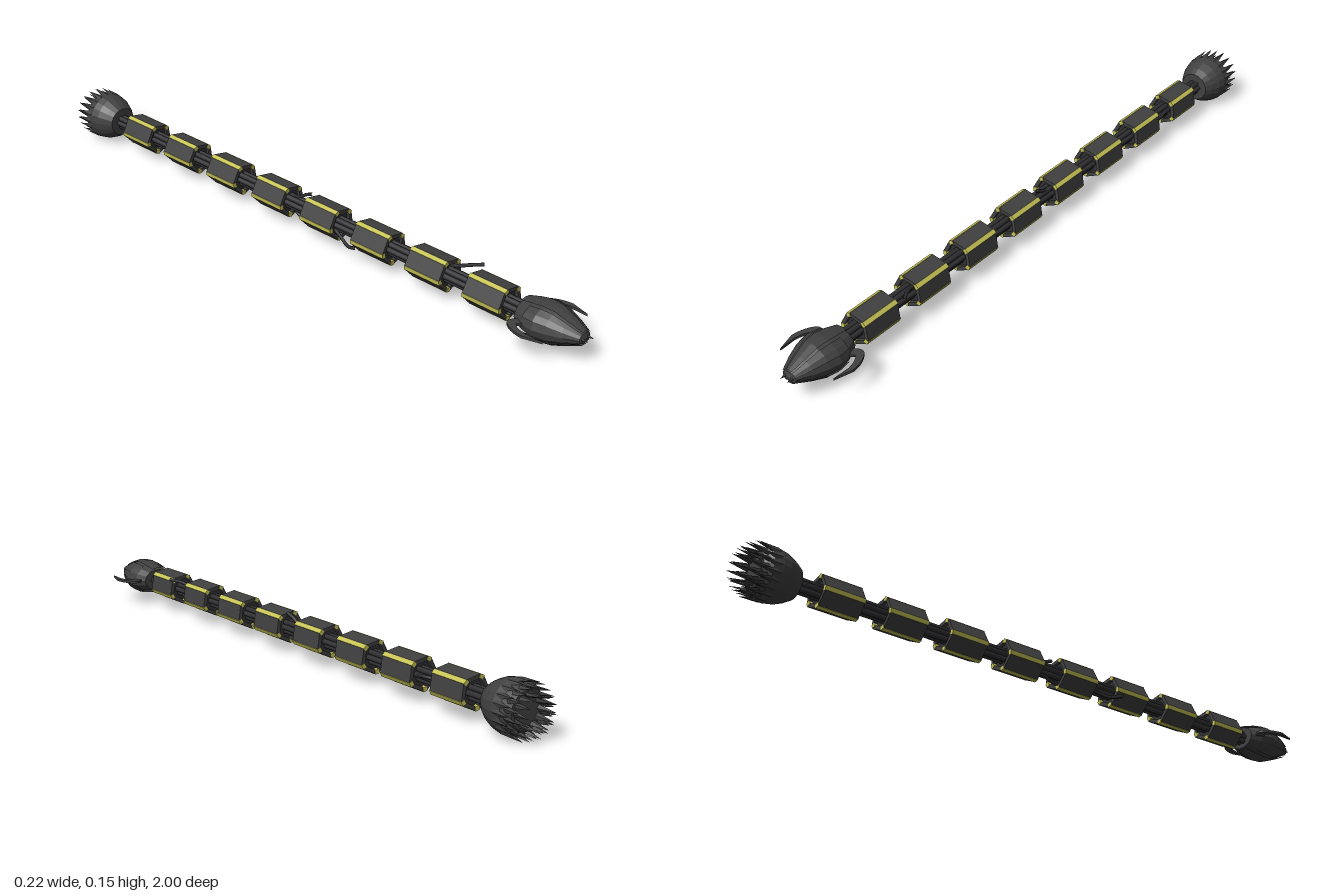
import * as THREE from 'three';

const AXIS = 0.077; // height of the body centreline
const rad = THREE.MathUtils.degToRad;
const mat = (name, color, extra = {}) => Object.assign(new THREE.MeshStandardMaterial({ color, ...extra }), { name });

// Flat-faced skin through elliptical rings [z, halfWidth, halfHeight], over an angle range
function loft(rings, sides, from = 0, to = 360, grow = 0) {
  const pos = [];
  const at = ([z, w, h], j) => {
    const a = rad(from + ((to - from) * j) / sides);
    return [(w + grow) * Math.cos(a), (h + grow) * Math.sin(a), z];
  };
  for (let i = 0; i < rings.length - 1; i++) {
    for (let j = 0; j < sides; j++) {
      const a = at(rings[i], j), b = at(rings[i], j + 1);
      const c = at(rings[i + 1], j + 1), d = at(rings[i + 1], j);
      pos.push(...a, ...b, ...c, ...a, ...c, ...d);
    }
  }
  const g = new THREE.BufferGeometry();
  g.setAttribute('position', new THREE.Float32BufferAttribute(pos, 3));
  g.computeVertexNormals();
  return g;
}

export function createModel() {
  const root = new THREE.Group();
  const armour = mat('dark armour', 0x404040, { flatShading: true, side: THREE.DoubleSide });
  const cable = mat('black cable', 0x303033);
  const glow = mat('yellow strip', 0xc6c255);

  const body = new THREE.Group();
  body.name = 'body';
  body.position.y = AXIS;
  root.add(body);
  const add = (parent, name, geo, material) => {
    const m = new THREE.Mesh(geo, material);
    m.name = name;
    parent.add(m);
    return m;
  };

  // Spine: bundle of parallel cables
  for (let i = 0; i < 7; i++) {
    const a = rad(i * 60), r = i < 6 ? 0.015 : 0;
    const g = new THREE.CylinderGeometry(0.008, 0.008, 1.66, 8).rotateX(Math.PI / 2);
    add(body, 'spineCable', g, cable).position.set(r * Math.cos(a), r * Math.sin(a), -0.02);
  }

  // Loose cables curling away from the spine
  const loose = [
    [[0.005, 0.012, 0.5], [0.018, 0.025, 0.56], [0.032, 0.034, 0.59], [0.053, 0.039, 0.62]],
    [[-0.01, -0.01, 0.12], [-0.022, -0.025, 0.17], [-0.035, -0.034, 0.21], [-0.044, -0.022, 0.25]],
    [[0, 0.01, -0.06], [0.008, 0.022, -0.02], [0.01, 0.034, 0], [0.012, 0.044, 0.025]],
    [[0, -0.01, -0.06], [-0.008, -0.022, -0.02], [-0.01, -0.034, 0.01], [-0.008, -0.034, 0.04]],
    [[0.01, 0, -0.55], [0.026, 0.005, -0.59], [0.02, 0.006, -0.63], [0.008, 0, -0.67]],
  ];
  for (const p of loose) {
    const path = new THREE.CatmullRomCurve3(p.map(v => new THREE.Vector3(...v)));
    add(body, 'looseCable', new THREE.TubeGeometry(path, 12, 0.005, 6), cable);
  }

  // Body segments: five plates around a core, with bright strips at the corners
  const panel = new THREE.Shape([[0.035, 10], [0.048, 8], [0.048, 64], [0.035, 62]].map(
    ([r, a]) => new THREE.Vector2(r * Math.cos(rad(a)), r * Math.sin(rad(a)))));
  const plateGeo = new THREE.ExtrudeGeometry(panel, { depth: 0.12, bevelEnabled: false }).translate(0, 0, -0.06);
  const stripGeo = new THREE.BoxGeometry(0.012, 0.013, 0.122).translate(0.0425, 0, 0);
  const coreGeo = new THREE.CylinderGeometry(0.037, 0.037, 0.1, 10).rotateX(Math.PI / 2);
  for (let s = 0; s < 8; s++) {
    const segment = new THREE.Group();
    segment.name = 'segment';
    segment.position.z = 0.69 - s * 0.1993;
    add(segment, 'segmentCore', coreGeo, cable);
    for (let k = 0; k < 5; k++) {
      const a = rad(-28 + 72 * k);
      add(segment, 'segmentPlate', plateGeo, armour).rotation.z = a;
      add(segment, 'segmentStrip', stripGeo, glow).rotation.z = a;
    }
    body.add(segment);
  }

  // Head: faceted tapering shell with raised crown, chin and cheek plates
  const head = new THREE.Group();
  head.name = 'head';
  body.add(head);
  const rings = [
    [0.795, 0, 0], [0.795, 0.044, 0.034], [0.83, 0.061, 0.043], [0.865, 0.066, 0.049],
    [0.9, 0.058, 0.047], [0.94, 0.043, 0.032], [0.98, 0.023, 0.015], [0.985, 0, 0],
  ];
  add(head, 'skull', loft(rings, 14), armour);
  const shell = rings.slice(1, 7);
  for (const mid of [90, 270]) {
    add(head, 'ridgePlate', loft(shell, 2, mid - 20, mid + 20, 0.005), armour);
    for (const side of [-1, 1]) {
      const c = mid + side * 46;
      add(head, 'cheekPlate', loft(shell.slice(1), 2, c - 19, c + 19, 0.003), armour);
    }
  }
  const fang = new THREE.ConeGeometry(0.009, 0.04, 6).rotateX(Math.PI / 2);
  for (const x of [-0.012, 0.012]) add(head, 'fang', fang, armour).position.set(x, 0, 0.98);

  // Flat curved mandibles on both sides
  for (const s of [-1, 1]) {
    const shape = new THREE.Shape();
    shape.moveTo(s * 0.045, 0.815);
    shape.quadraticCurveTo(s * 0.07, 0.79, s * 0.085, 0.805);
    shape.quadraticCurveTo(s * 0.106, 0.83, s * 0.108, 0.868);
    shape.lineTo(s * 0.092, 0.922);
    shape.lineTo(s * 0.094, 0.87);
    shape.quadraticCurveTo(s * 0.088, 0.835, s * 0.072, 0.825);
    shape.lineTo(s * 0.055, 0.84);
    const g = new THREE.ExtrudeGeometry(shape, { depth: 0.007, bevelEnabled: false, curveSegments: 5 });
    add(head, 'mandible', g.rotateX(Math.PI / 2).translate(0, 0.0035, 0), armour);
  }

  // Tail: rounded cup ending in rings of backward spikes
  const tail = new THREE.Group();
  tail.name = 'tail';
  body.add(tail);
  const cup = [
    [-0.945, 0, 0], [-0.945, 0.05, 0.05], [-0.925, 0.07, 0.07], [-0.9, 0.073, 0.073],
    [-0.875, 0.068, 0.068], [-0.85, 0.057, 0.057], [-0.83, 0.044, 0.044], [-0.83, 0, 0],
  ];
  add(tail, 'tailCup', loft(cup, 20), armour);
  // [count, base radius, tip radius, base z, tip z, half width]
  const spikeRings = [
    [20, 0.067, 0.075, -0.905, -0.962, 0.012],
    [16, 0.056, 0.064, -0.92, -0.985, 0.012],
    [12, 0.038, 0.045, -0.935, -1.0, 0.011],
  ];
  for (const [n, r0, r1, z0, z1, w] of spikeRings) {
    const len = Math.hypot(r1 - r0, z1 - z0);
    const geo = new THREE.ConeGeometry(w, len, 4).scale(1, 1, 0.6)
      .translate(0, len / 2, 0).rotateX(-Math.PI / 2 + Math.atan2(r1 - r0, z0 - z1));
    for (let i = 0; i < n; i++) {
      const holder = new THREE.Group();
      holder.rotation.z = ((i + (n === 16 ? 0.5 : 0)) / n) * Math.PI * 2;
      add(holder, 'tailSpike', geo, armour).position.set(0, r0, z0);
      tail.add(holder);
    }
  }
  return root;
}
